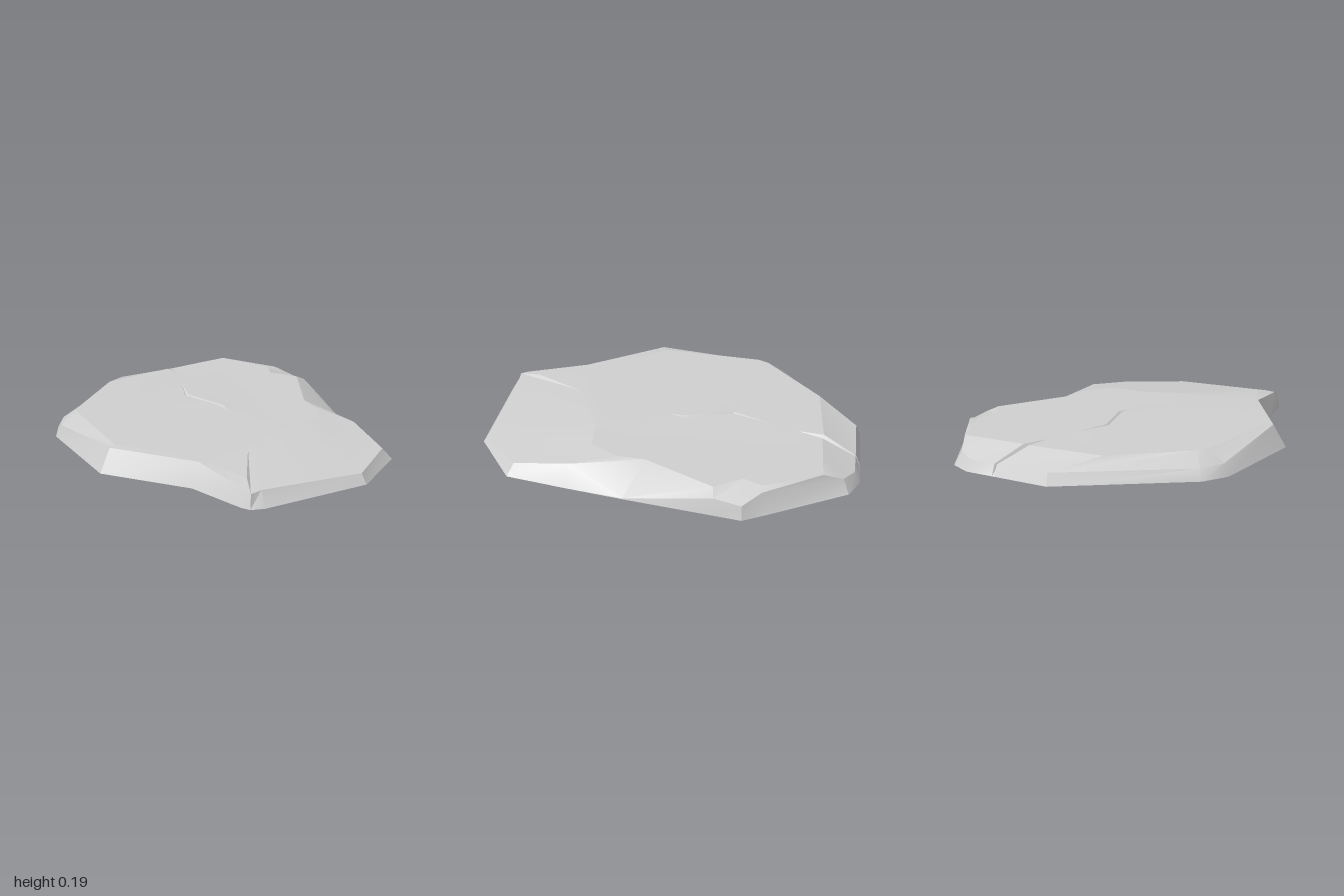
import * as THREE from 'three';
import { toCreasedNormals } from 'three/addons/utils/BufferGeometryUtils.js';

// Corners around the slab: base x, z | rim inset, rim height | plateau edge x, z
const corners = [
  [0.25, -1, 0.03, 0.125, 0.25, -0.81],
  [0.37, -0.97, 0.04, 0.14, 0.42, -0.85],
  [0.67, -0.63, 0.03, 0.18, 0.6, -0.6],
  [0.745, -0.54, 0.015, 0.14, 0.57, -0.5],
  [0.745, -0.4, 0.01, 0.16, 0.68, -0.38],
  [0.745, 0.05, 0.002, 0.075, 0.55, 0],
  [0.74, 0.35, 0.07, 0.168, 0.56, 0.14],
  [0.73, 0.66, 0.05, 0.125, 0.5, 0.3],
  [0.46, 0.91, 0.03, 0.12, 0.3, 0.35],
  [-0.1, 1, 0.045, 0.145, 0, 0.55],
  [-0.17, 0.99, 0.02, 0.14, -0.13, 0.85],
  [-0.2, 0.95, 0.03, 0.15, -0.2, 0.72],
  [-0.33, 0.66, 0.055, 0.187, -0.26, 0.58],
  [-0.68, 0.33, 0.067, 0.185, -0.59, 0.27],
  [-0.75, -0.24, 0.03, 0.13, -0.63, -0.25],
  [-0.7, -0.38, 0.03, 0.125, -0.61, -0.31],
  [-0.2, -0.91, 0.025, 0.13, -0.33, -0.66],
];
const notch = corners.length + 1;

// Lips (side -1, 1) and bottom (side 0) of the crack in the back edge
for (const side of [-1, 0, 1]) {
  const x = 0.095 + side * 0.008;
  corners.push([x, -0.95 - 0.2 * x, 0.025, side ? 0.126 : 0.1, 0.07 + side * 0.018, -0.77]);
}

const vec = (x, y, z) => new THREE.Vector3(x, y, z);

// Collects triangles and turns them into a mesh with sharp creases
function surface(name, material) {
  const positions = [];
  const tri = (...pts) => pts.forEach((p) => positions.push(p.x, p.y, p.z));
  // Triangle turned so that it faces upward
  const triUp = (a, b, c) => {
    const up = (b.z - a.z) * (c.x - a.x) - (b.x - a.x) * (c.z - a.z) > 0;
    if (up) tri(a, b, c);
    else tri(a, c, b);
  };
  const mesh = () => {
    const geometry = new THREE.BufferGeometry();
    geometry.setAttribute('position', new THREE.Float32BufferAttribute(positions, 3));
    const result = new THREE.Mesh(toCreasedNormals(geometry, 0.45), material);
    result.name = name;
    return result;
  };
  return { tri, triUp, mesh };
}

export function createModel() {
  const stone = new THREE.MeshStandardMaterial({ color: 0xd1d1d1 });
  stone.name = 'light grey stone';
  const sides = surface('sidesAndUnderside', stone);
  const top = surface('topSurface', stone);

  const n = corners.length;
  const base = corners.map(([x, z]) => vec(x, 0.07, z));
  // Rim: each base corner moved inward along its bisector
  const rim = corners.map(([, , inset, height], i) => {
    const before = base[i].clone().sub(base[(i + n - 1) % n]).normalize();
    const along = base[(i + 1) % n].clone().sub(base[i]).normalize().add(before).normalize();
    return vec(base[i].x - along.z * inset, height, base[i].z + along.x * inset);
  });
  // Plateau edge: almost level, dipping toward the front
  const plateau = corners.map(([, , , , x, z], i) => {
    const dip = 0.125 * Math.max(0, z - 0.45) ** 2;
    return vec(x, i === notch ? 0.16 : 0.188 - dip, z);
  });

  // Shallow pointed underside, side walls and bevelled shoulder
  const apex = vec(0.07, 0, 0);
  for (let i = 0; i < n; i++) {
    const j = (i + 1) % n;
    sides.tri(apex, base[i], base[j]);
    for (const [lo, hi] of [[base, rim], [rim, plateau]]) {
      sides.tri(lo[j], lo[i], hi[i]);
      sides.tri(lo[j], hi[i], hi[j]);
    }
  }

  // Tapering inner end of the edge crack
  const tip = vec(0.058, 0.188, -0.64);
  sides.triUp(plateau[notch - 1], tip, plateau[notch]);
  sides.triUp(plateau[notch], tip, plateau[notch + 1]);

  // Bent crack in the middle: two lips and a sunken line between them
  const start = vec(0.033, 0.193, -0.49);
  const end = vec(0.1, 0.194, 0.03);
  const crackLine = (offset, y) => [
    start, vec(-0.011 + offset, y, -0.28), vec(0.103 + offset, y, -0.055), end,
  ];
  const leftLip = crackLine(-0.01, 0.195);
  const rightLip = crackLine(0.01, 0.195);
  const floor = crackLine(-0.004, 0.183);
  for (const lip of [leftLip, rightLip]) {
    top.triUp(start, lip[1], floor[1]);
    top.triUp(lip[1], lip[2], floor[2]);
    top.triUp(lip[1], floor[2], floor[1]);
    top.triUp(lip[2], end, floor[2]);
  }

  // Top surface, open along the middle crack
  const outline = plateau.map((p, i) => (i === notch ? tip : p));
  const hole = [...leftLip, rightLip[2], rightLip[1]];
  const flat = (pts) => pts.map((p) => new THREE.Vector2(p.x, p.z));
  const all = [...outline, ...hole];
  for (const [a, b, c] of THREE.ShapeUtils.triangulateShape(flat(outline), [flat(hole)])) {
    top.triUp(all[a], all[b], all[c]);
  }

  const group = new THREE.Group();
  group.name = 'flatRock';
  group.add(sides.mesh(), top.mesh());
  return group;
}
